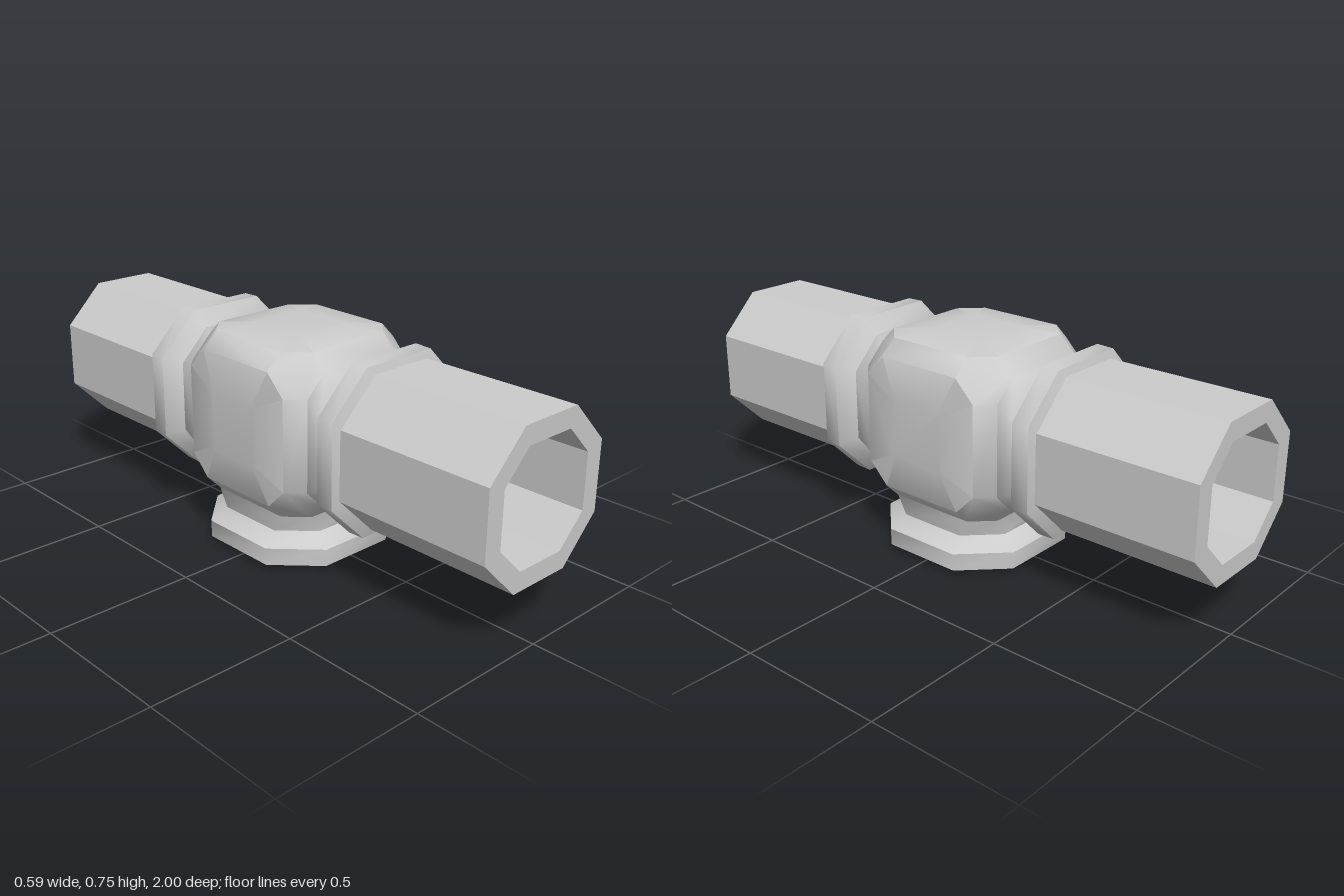
import * as THREE from 'three';
import { toCreasedNormals } from 'three/addons/utils/BufferGeometryUtils.js';
import { ConvexGeometry } from 'three/addons/geometries/ConvexGeometry.js';

const AXIS_Y = 0.46; // height of the pipe axis
const material = new THREE.MeshStandardMaterial({ color: 0xcccccc, side: THREE.DoubleSide });

// Octagon from half width h and half length f of its straight sides.
const octagon = (h, f) => [[h, -f], [h, f], [f, h], [-f, h], [-h, f], [-h, -f], [-f, -h], [f, -h]];

// Skin octagon sections [z, h, f] in order; sections running back form inner walls.
function loft(sections, crease) {
  const rings = sections.map(([z, h, f]) => octagon(h, f).map(([x, y]) => [x, y, z]));
  const pos = [];
  for (let k = 0; k < rings.length - 1; k++) {
    for (let i = 0; i < 8; i++) {
      const j = (i + 1) % 8;
      const a = rings[k][i], b = rings[k][j], c = rings[k + 1][j], d = rings[k + 1][i];
      pos.push(...a, ...b, ...c, ...a, ...c, ...d);
    }
  }
  const geo = new THREE.BufferGeometry();
  geo.setAttribute('position', new THREE.Float32BufferAttribute(pos, 3));
  return toCreasedNormals(geo, THREE.MathUtils.degToRad(crease));
}

// Chamfered block with bulged panels, open where the three arms leave it.
function bodyGeometry() {
  const points = [];
  const put = (axis, sign, d, u, v) => {
    const p = [0, 0, 0];
    p[axis] = sign * d;
    p[(axis + 1) % 3] = u;
    p[(axis + 2) % 3] = v;
    points.push(new THREE.Vector3(...p));
  };
  const hasArm = (axis, sign) => axis === 2 || (axis === 1 && sign < 0);
  for (let axis = 0; axis < 3; axis++) {
    for (const sign of [-1, 1]) {
      octagon(0.225, 0.155).forEach(([u, v]) => put(axis, sign, 0.278, u, v));
      if (!hasArm(axis, sign)) octagon(0.105, 0.095).forEach(([u, v]) => put(axis, sign, 0.293, u, v));
    }
  }
  const hull = new ConvexGeometry(points).getAttribute('position').array;
  const pos = [];
  for (let t = 0; t < hull.length; t += 9) {
    const tri = Array.from(hull.slice(t, t + 9));
    const lies = (axis, d) => [0, 3, 6].every((o) => Math.abs(tri[o + axis] - d) < 1e-4);
    if (!lies(2, 0.278) && !lies(2, -0.278) && !lies(1, -0.278)) pos.push(...tri);
  }
  const geo = new THREE.BufferGeometry();
  geo.setAttribute('position', new THREE.Float32BufferAttribute(pos, 3));
  return toCreasedNormals(geo, THREE.MathUtils.degToRad(40));
}

export function createModel() {
  const model = new THREE.Group();
  model.name = 'pipeTee';
  const add = (name, geo, rx = 0, ry = 0) => {
    const mesh = new THREE.Mesh(geo, material);
    mesh.name = name;
    mesh.position.y = AXIS_Y;
    mesh.rotation.set(rx, ry, 0);
    model.add(mesh);
  };

  add('body', bodyGeometry());

  // Neck and bevelled collar shared by all three openings
  const collar = [
    [0.278, 0.225, 0.155], [0.34, 0.225, 0.12], [0.38, 0.28, 0.14],
    [0.44, 0.278, 0.14], [0.46, 0.22, 0.11],
  ];
  const collarGeo = loft(collar, 50);

  // Hollow octagonal pipe whose bore narrows slightly inside the body
  const pipeGeo = loft([
    [0.44, 0.253, 0.115], [1, 0.253, 0.115], [1, 0.189, 0.092],
    [0.45, 0.189, 0.092], [0.45, 0.179, 0.09], [0, 0.179, 0.09],
  ], 40);

  [['front', 0], ['back', Math.PI]].forEach(([side, turn]) => {
    add(side + 'Collar', collarGeo, 0, turn);
    add(side + 'Pipe', pipeGeo, 0, turn);
  });

  // Open bottom socket with its inner wall
  add('bottomCollar', loft([...collar, [0.18, 0.22, 0.11]], 50), Math.PI / 2);

  return model;
}
